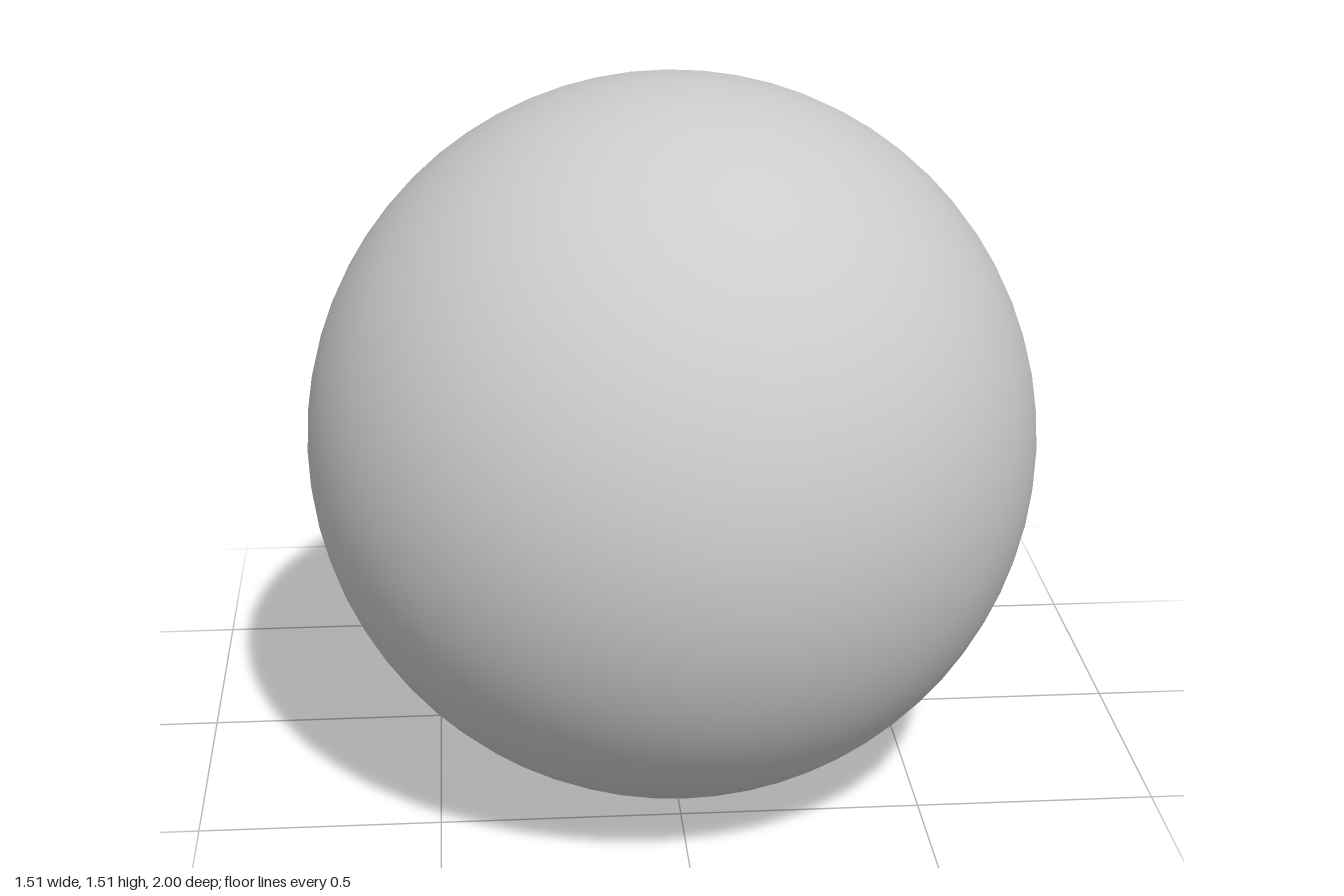
import * as THREE from 'three';

const R = 0.755; // radius of the round body
const CZ = 0.245; // z of its centre
const SIDES = 64;

// Tail sections: [z, top y, bottom y, half width]
const TAIL = [
  [0, 1.469, 0.04, 0.716],
  [-0.1, 1.42, 0.07, 0.682],
  [-0.2, 1.353, 0.115, 0.632],
  [-0.3, 1.287, 0.178, 0.57],
  [-0.4, 1.217, 0.253, 0.498],
  [-0.5, 1.16, 0.342, 0.427],
  [-0.6, 1.12, 0.445, 0.355],
  [-0.7, 1.094, 0.565, 0.282],
  [-0.8, 1.09, 0.705, 0.206],
  [-0.9, 1.107, 0.868, 0.13],
  [-0.95, 1.122, 0.965, 0.09],
  [-0.98, 1.132, 1.035, 0.058],
  [-0.995, 1.133, 1.075, 0.03],
];

function sections() {
  const list = [];
  // Round front, from just behind the front pole to the start of the tail
  const end = Math.acos(-CZ / R);
  for (let i = 1; i < 28; i++) {
    const a = (i / 28) * end;
    const r = R * Math.sin(a);
    list.push([CZ + R * Math.cos(a), R + r, R - r, r]);
  }
  // Tail, smoothed through its sections
  const side = new THREE.CatmullRomCurve3(TAIL.map(([z, t, b]) => new THREE.Vector3(z, t, b)));
  const width = new THREE.CatmullRomCurve3(TAIL.map(([z, , , w]) => new THREE.Vector3(z, w, 0)));
  const n = (TAIL.length - 1) * 3;
  for (let i = 0; i <= n; i++) {
    const p = side.getPoint(i / n);
    list.push([p.x, p.y, p.z, width.getPoint(i / n).y]);
  }
  return list;
}

// Closed skin over elliptical rings, with a single vertex at each end
function loft(rings, front, back) {
  const pos = [...front];
  const index = [];
  for (const [z, top, bottom, w] of rings) {
    for (let j = 0; j < SIDES; j++) {
      const a = (j / SIDES) * Math.PI * 2;
      pos.push(w * Math.cos(a), (top + bottom) / 2 + ((top - bottom) / 2) * Math.sin(a), z);
    }
  }
  pos.push(...back);
  const last = pos.length / 3 - 1;
  const at = (i, j) => 1 + i * SIDES + (j % SIDES);
  for (let j = 0; j < SIDES; j++) {
    index.push(0, at(0, j), at(0, j + 1));
    for (let i = 0; i < rings.length - 1; i++) {
      index.push(at(i, j), at(i + 1, j), at(i + 1, j + 1));
      index.push(at(i, j), at(i + 1, j + 1), at(i, j + 1));
    }
    index.push(at(rings.length - 1, j), last, at(rings.length - 1, j + 1));
  }
  const geometry = new THREE.BufferGeometry();
  geometry.setAttribute('position', new THREE.Float32BufferAttribute(pos, 3));
  geometry.setIndex(index);
  geometry.computeVertexNormals();
  return geometry;
}

export function createModel() {
  const group = new THREE.Group();
  group.name = 'teardrop';
  // Round body drawn out into an upturned tail
  const body = new THREE.Mesh(
    loft(sections(), [0, R, CZ + R], [0, 1.115, -1]),
    new THREE.MeshStandardMaterial({ color: 0xcccccc })
  );
  body.name = 'bodyWithTail';
  group.add(body);
  return group;
}
